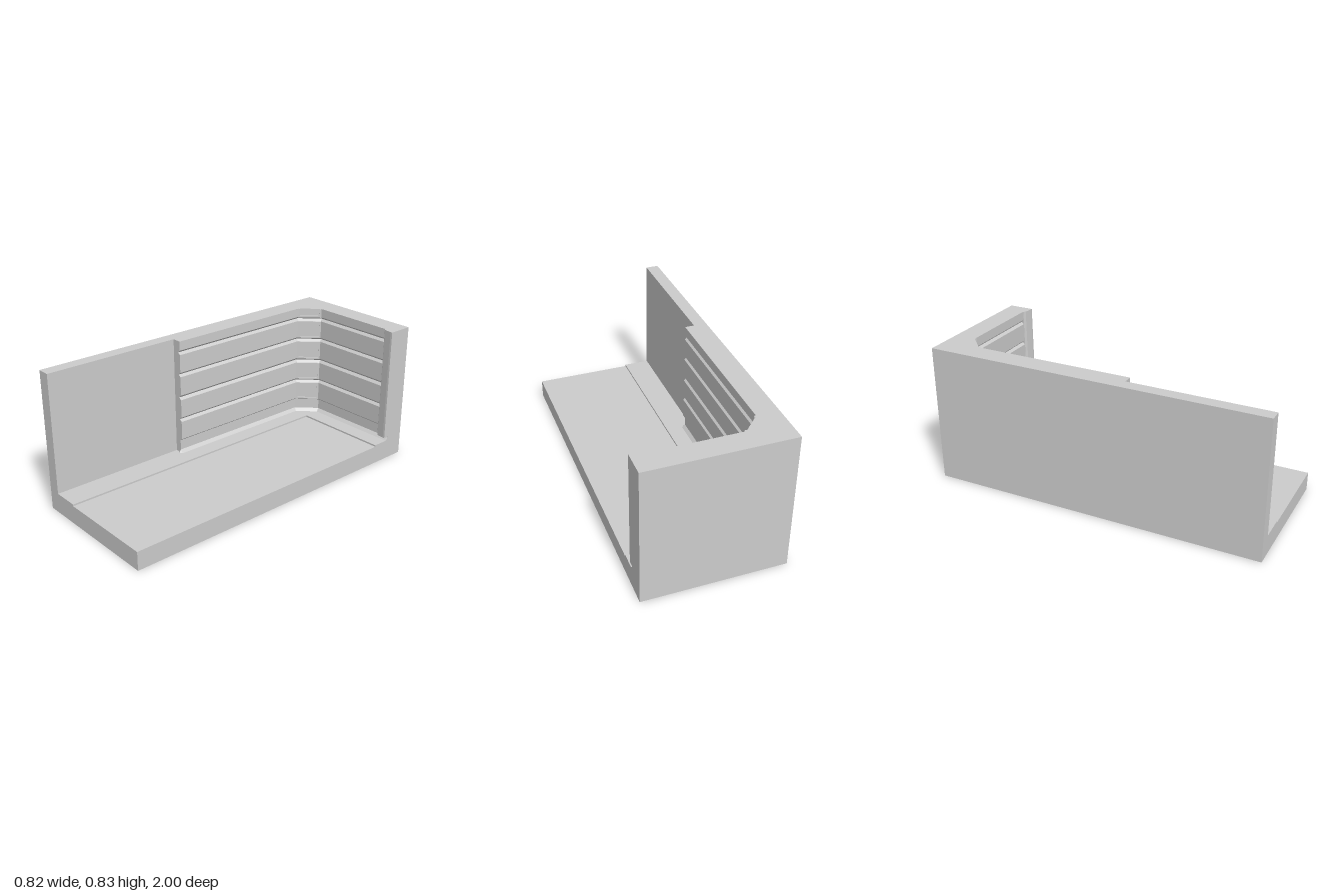
import * as THREE from 'three';
import { ConvexGeometry } from 'three/addons/geometries/ConvexGeometry.js';

const TOP = 0.825, FLOOR = 0.12;
const material = new THREE.MeshStandardMaterial({ color: 0xcccccc, flatShading: true });

function add(group, name, geometry) {
  const mesh = new THREE.Mesh(geometry, material);
  mesh.name = name;
  group.add(mesh);
  return mesh;
}

// Box given by its minimum and maximum corners
function box(x0, x1, y0, y1, z0, z1) {
  return new THREE.BoxGeometry(x1 - x0, y1 - y0, z1 - z0)
    .translate((x0 + x1) / 2, (y0 + y1) / 2, (z0 + z1) / 2);
}

const polygon = (pts) => new THREE.Shape(pts.map(([x, y]) => new THREE.Vector2(x, y)));

// Plan outline in [x, z], extruded upwards from y0 to y1
function plan(pts, y0, y1) {
  const shape = polygon(pts.map(([x, z]) => [x, -z]));
  return new THREE.ExtrudeGeometry(shape, { depth: y1 - y0, bevelEnabled: false })
    .rotateX(-Math.PI / 2).translate(0, y0, 0);
}

// Lower and upper edges of the horizontal grooves
const grooves = [[0.324, 0.352], [0.463, 0.492], [0.607, 0.634], [0.743, 0.77]];

// Grooved wall: one section swept along the side, the cut corner and the back
function groovedWall() {
  const section = [[0.003, FLOOR], [-0.015, 0.138], [-0.015, 0.2], [0, 0.212]];
  for (const [a, b] of grooves) section.push([0, a], [-0.015, (a + b) / 2], [0, b]);
  section.push([0, TOP]);

  // Inner point, mitre direction and outer point of each station, as [x, z]
  const stations = [
    { p: [-0.28, 0.18], m: [1, 0], o: [-0.41, 0.18] },
    { p: [-0.28, -0.77], m: [1, 0.414], o: [-0.41, -1] },
    { p: [-0.18, -0.87], m: [0.414, 1], o: [-0.41, -1] },
    { p: [0.41, -0.87], m: [0, 1], o: [0.41, -1] },
  ];
  const rings = stations.map(({ p, m, o }) => [
    [o[0], FLOOR, o[1]],
    ...section.map(([d, y]) => [p[0] + m[0] * d, y, p[1] + m[1] * d]),
    [o[0], TOP, o[1]],
  ]);

  const n = rings[0].length, pos = [];
  const tri = (a, b, c) => pos.push(...a, ...b, ...c);
  for (let s = 0; s < rings.length - 1; s++) {
    for (let i = 0; i < n; i++) {
      const j = (i + 1) % n, r = rings[s], q = rings[s + 1];
      tri(r[i], q[i], q[j]);
      tri(r[i], q[j], r[j]);
    }
  }
  // End caps
  const first = rings[0], last = rings[rings.length - 1];
  const contour = first.map(([x, y]) => new THREE.Vector2(x, y));
  for (const [a, b, c] of THREE.ShapeUtils.triangulateShape(contour, [])) {
    tri(first[a], first[b], first[c]);
    tri(last[a], last[c], last[b]);
  }
  const geometry = new THREE.BufferGeometry();
  geometry.setAttribute('position', new THREE.Float32BufferAttribute(pos, 3));
  geometry.computeVertexNormals();
  return geometry;
}

// Raised frame of one corner panel; the topmost is open at its upper edge
function panelFrame(y0, y1, open) {
  const w = 0.073, v = 0.062, t = 0.01;
  let shape;
  if (open) {
    shape = polygon([[-w, y0], [w, y0], [w, y1], [v, y1], [v, y0 + t], [-v, y0 + t], [-v, y1], [-w, y1]]);
  } else {
    shape = polygon([[-w, y0], [w, y0], [w, y1], [-w, y1]]);
    shape.holes.push(polygon([[-v, y0 + t], [-v, y1 - t], [v, y1 - t], [v, y0 + t]]));
  }
  return new THREE.ExtrudeGeometry(shape, { depth: 0.009, bevelEnabled: false });
}

export function createModel() {
  const model = new THREE.Group();
  model.name = 'roomCorner';

  // Floor slab with a slightly raised border along the walls
  add(model, 'floorSlab', box(-0.41, 0.41, 0, 0.11, -1, 1));
  add(model, 'floorBorder', plan(
    [[-0.41, 1], [-0.18, 1], [-0.18, -0.77], [0.41, -0.77], [0.41, -1], [-0.41, -1]], 0.11, FLOOR));

  // Walls
  add(model, 'plainSideWall', box(-0.41, -0.335, FLOOR, TOP, 0.18, 1));
  add(model, 'groovedWall', groovedWall());

  // Small mitred end of the skirting
  add(model, 'skirtingEnd', new ConvexGeometry([
    [-0.315, FLOOR, 0.18], [-0.277, FLOOR, 0.18], [-0.295, 0.138, 0.18], [-0.293, FLOOR, 0.195],
  ].map((p) => new THREE.Vector3(...p))));

  // Pilaster at the end of the back wall
  add(model, 'pilaster', plan(
    [[0.34, -0.89], [0.34, -0.868], [0.35, -0.857], [0.398, -0.85], [0.41, -0.85], [0.41, -0.89]], 0.142, TOP));

  // Framed panels on the cut corner, one between each pair of grooves
  const panels = new THREE.Group();
  panels.name = 'cornerPanels';
  panels.position.set(-0.23, 0, -0.82);
  panels.rotation.y = Math.PI / 4;
  const edges = [0.212, ...grooves.flat(), TOP];
  for (let i = 0; i < edges.length; i += 2) {
    add(panels, 'panelFrame', panelFrame(edges[i], edges[i + 1], i === edges.length - 2));
  }
  model.add(panels);
  return model;
}
